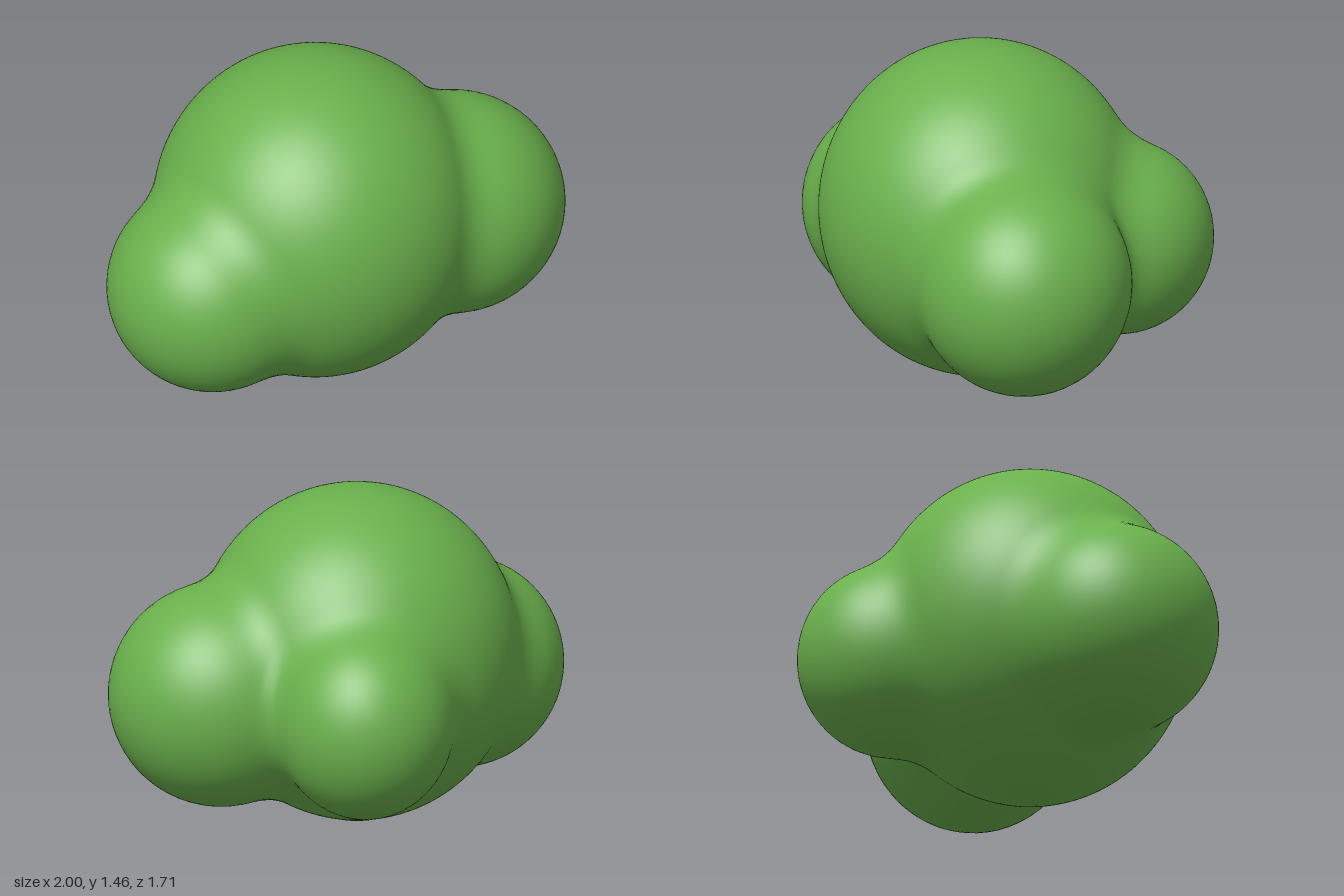
import * as THREE from 'three';
import { mergeVertices } from 'three/addons/utils/BufferGeometryUtils.js';

// Rounded masses of the bush: centre and radii
const CORE = new THREE.Vector3(-0.08, 0.745, 0.13);
const LOBES = [
  { c: CORE, r: new THREE.Vector3(0.69, 0.72, 0.685) },
  { c: new THREE.Vector3(0.52, 0.63, -0.02), r: new THREE.Vector3(0.48, 0.48, 0.46) },   // left
  { c: new THREE.Vector3(-0.55, 0.59, 0.41), r: new THREE.Vector3(0.45, 0.45, 0.45) },   // front right
  { c: new THREE.Vector3(-0.03, 0.62, -0.45), r: new THREE.Vector3(0.38, 0.42, 0.405) }, // back
];
const BLEND = 0.1;

const q = new THREE.Vector3();
function lobeDistance(p, { c, r }) {
  return (q.copy(p).sub(c).divide(r).length() - 1) * Math.min(r.x, r.y, r.z);
}

// Smooth union of all masses
function bushDistance(p) {
  let d = lobeDistance(p, LOBES[0]);
  for (const lobe of LOBES.slice(1)) {
    const e = lobeDistance(p, lobe);
    const h = Math.max(BLEND - Math.abs(d - e), 0) / BLEND;
    d = Math.min(d, e) - h * h * BLEND / 4;
  }
  return d;
}

// Push every point of a sphere out along its ray to the blended surface
function foliageGeometry() {
  let g = new THREE.IcosahedronGeometry(1, 28);
  g.deleteAttribute('normal');
  g.deleteAttribute('uv');
  g = mergeVertices(g, 1e-4);
  const pos = g.attributes.position;
  const dir = new THREE.Vector3(), p = new THREE.Vector3();
  for (let i = 0; i < pos.count; i++) {
    dir.fromBufferAttribute(pos, i).normalize();
    let near = 0.3, far = 1.6;
    for (let k = 0; k < 24; k++) {
      const mid = (near + far) / 2;
      p.copy(CORE).addScaledVector(dir, mid);
      if (bushDistance(p) < 0) near = mid; else far = mid;
    }
    p.copy(CORE).addScaledVector(dir, near);
    // Slight point underneath
    const spread = Math.hypot(dir.x, dir.z);
    if (dir.y < 0) p.y -= 0.025 * Math.max(0, 1 - spread / 0.25);
    pos.setXYZ(i, p.x, Math.max(p.y, 0), p.z);
  }
  g.computeVertexNormals();
  return g;
}

export function createModel() {
  const group = new THREE.Group();
  group.name = 'bush';
  const leafGreen = new THREE.MeshStandardMaterial({ color: 0x6ab04c });
  leafGreen.name = 'leaf green';
  const foliage = new THREE.Mesh(foliageGeometry(), leafGreen);
  foliage.name = 'foliage';
  group.add(foliage);
  return group;
}
